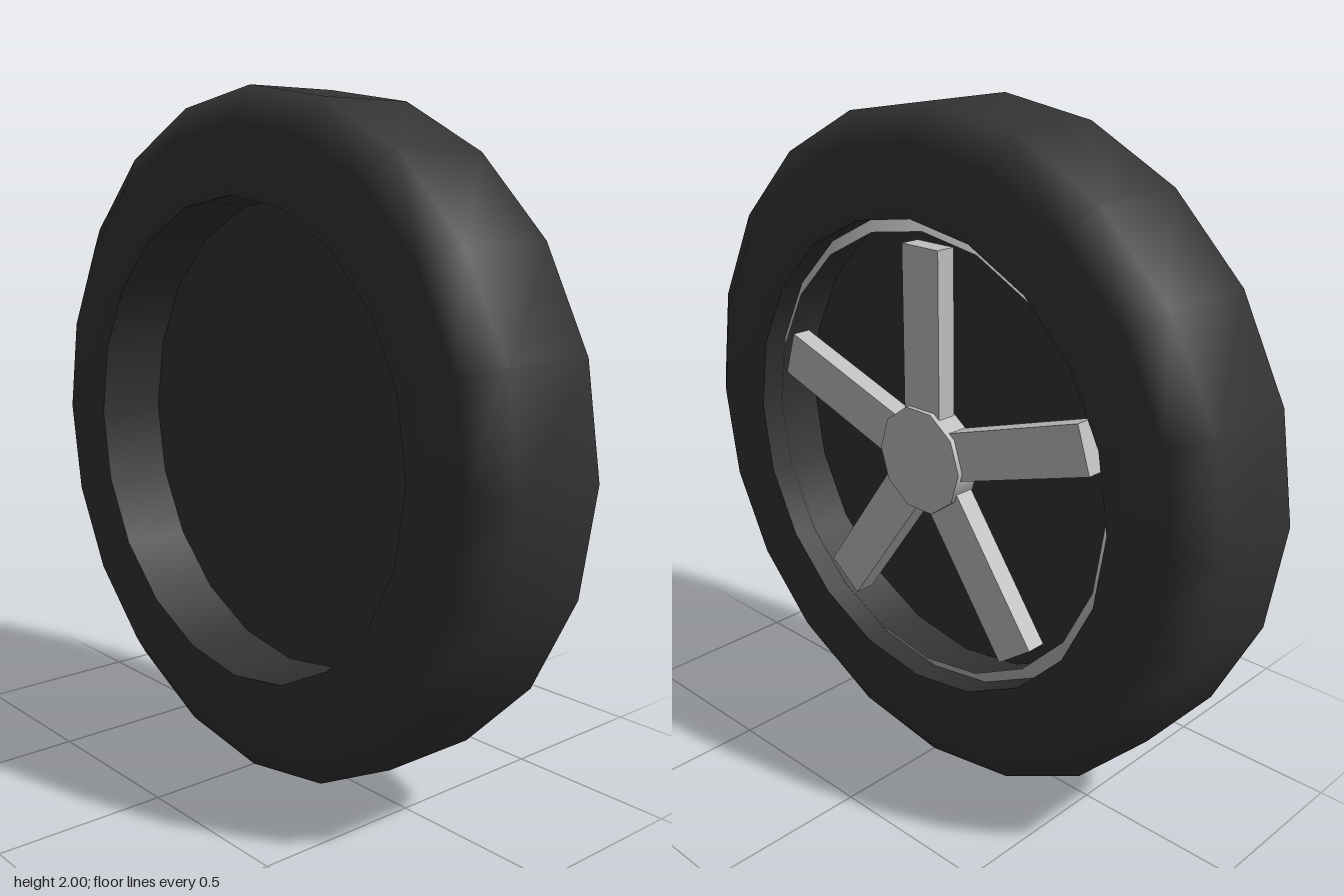
import * as THREE from 'three';

const SIDES = 20;

export function createModel() {
  const rubber = new THREE.MeshStandardMaterial({ color: 0x333333 });
  rubber.name = 'dark rubber';
  const metal = new THREE.MeshStandardMaterial({ color: 0xc0c0c0 });
  metal.name = 'silver metal';

  const model = new THREE.Group();
  model.name = 'wheel';
  const wheel = new THREE.Group();
  wheel.name = 'wheelAssembly';
  wheel.position.y = 1;
  model.add(wheel);

  const add = (name, geometry, material) => {
    const mesh = new THREE.Mesh(geometry, material);
    mesh.name = name;
    wheel.add(mesh);
    return mesh;
  };

  // Revolve [radius, x] points around the axle (x axis)
  const revolve = (points) =>
    new THREE.LatheGeometry(points.map(([r, x]) => new THREE.Vector2(r, x)), SIDES).rotateZ(-Math.PI / 2);

  // Tyre: smooth outer shell and straight inner wall
  add('tyre', revolve([[0.7, -0.22], [0.9, -0.22], [1, -0.15], [1, 0.15], [0.9, 0.22], [0.7, 0.22]]), rubber);
  add('tyreInnerWall', revolve([[0.7, 0.22], [0.7, -0.22]]), rubber);

  // Thin plate closing the middle of the wheel
  add('backPlate', new THREE.CylinderGeometry(0.7, 0.7, 0.01, SIDES).rotateZ(-Math.PI / 2), rubber);

  // Narrow bevelled rim, recessed behind the tyre lip
  const rimMetal = metal;
  rimMetal.side = THREE.DoubleSide;
  add('rim', revolve([[0.7, 0.145], [0.66, 0.175]]), rimMetal);

  // Ten-sided hub
  add('hub', new THREE.CylinderGeometry(0.16, 0.16, 0.08, 10).rotateZ(-Math.PI / 2), metal).position.x = 0.16;

  // Five straight spokes, the first pointing up
  for (let i = 0; i < 5; i++) {
    const spoke = new THREE.BoxGeometry(0.06, 0.57, 0.14).translate(0.155, 0.335, 0);
    add('spoke' + (i + 1), spoke.rotateX((i * Math.PI * 2) / 5), metal);
  }

  return model;
}
